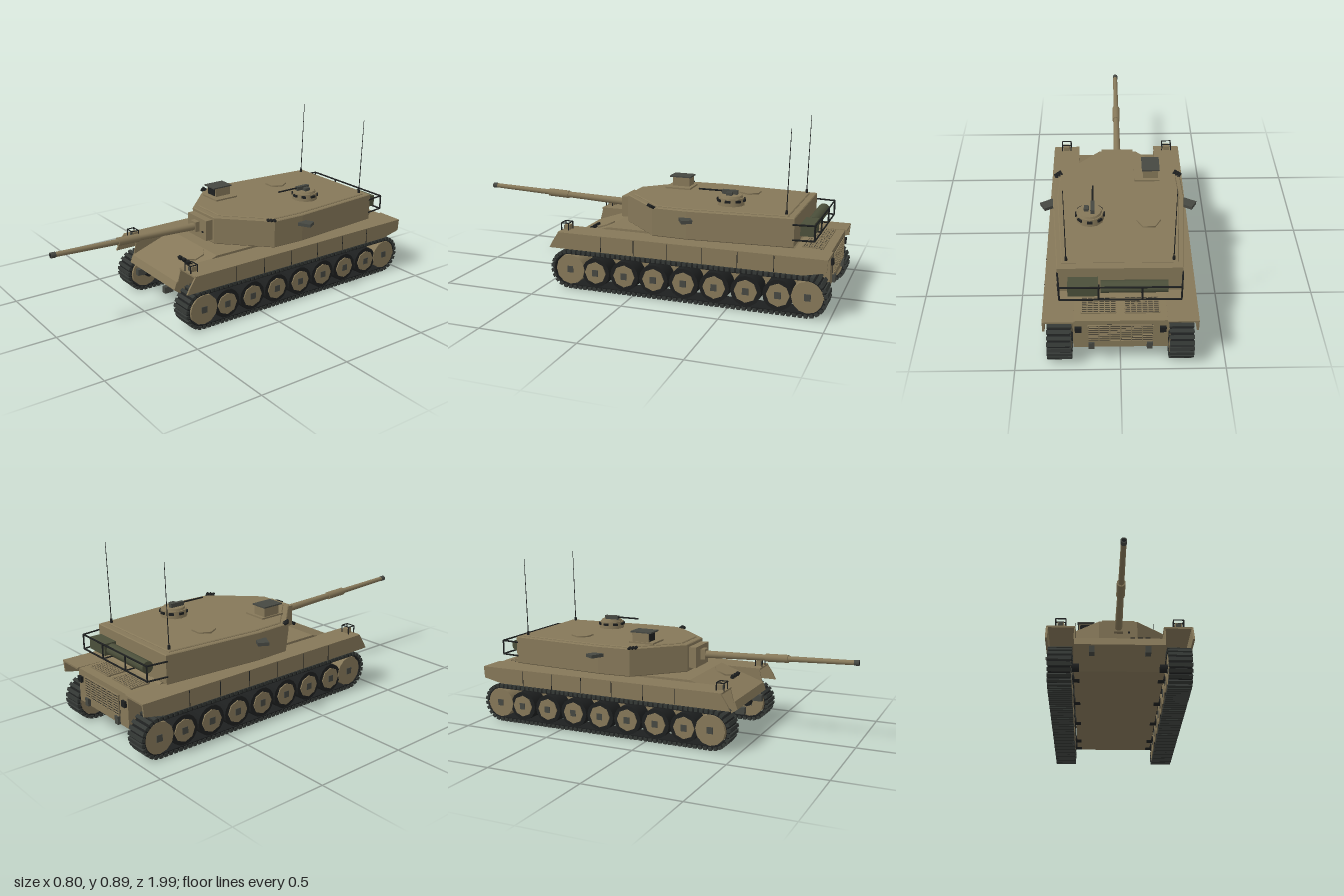
import * as THREE from 'three';
import { mergeGeometries } from 'three/addons/utils/BufferGeometryUtils.js';

const mat = (name, color) => Object.assign(new THREE.MeshStandardMaterial({ color }), { name });
const V = (x, y, z) => new THREE.Vector3(x, y, z);

export function createModel() {
  const sand = mat('sand paint', 0x867859);
  const steel = mat('dark steel', 0x464842);
  const black = mat('rubber black', 0x1d1f1f);
  const track = mat('track grey', 0x343835);
  const olive = mat('olive canvas', 0x4b4f3a);
  const root = new THREE.Group();
  root.name = 'tank';

  // ---- helpers ----
  const add = (name, geo, m, parent = root) => {
    const mesh = new THREE.Mesh(geo, m);
    mesh.name = name;
    parent.add(mesh);
    return mesh;
  };
  const group = (name) => {
    const g = new THREE.Group();
    g.name = name;
    root.add(g);
    return g;
  };
  const boxGeo = (w, h, d, x, y, z) => new THREE.BoxGeometry(w, h, d).translate(x, y, z);
  const box = (name, w, h, d, x, y, z, m, p) => add(name, boxGeo(w, h, d, x, y, z), m, p);
  const rodGeo = (a, b, r0, r1 = r0, n = 6) => {
    const dir = b.clone().sub(a);
    const g = new THREE.CylinderGeometry(r1, r0, dir.length(), n);
    g.applyQuaternion(new THREE.Quaternion().setFromUnitVectors(V(0, 1, 0), dir.normalize()));
    const c = a.clone().add(b).multiplyScalar(0.5);
    return g.translate(c.x, c.y, c.z);
  };
  const rod = (name, a, b, r0, m, r1, n, p) => add(name, rodGeo(a, b, r0, r1, n), m, p);
  const shape = (pts) => new THREE.Shape(pts.map((p) => new THREE.Vector2(p[0], p[1])));
  // side profile of [z, y] points spanning x0..x1
  const sideExtrude = (s, x0, x1) =>
    new THREE.ExtrudeGeometry(s, { depth: x1 - x0, bevelEnabled: false, curveSegments: 16 })
      .rotateY(-Math.PI / 2).translate(x1, 0, 0);
  const wheelGeo = (r, w, n, x, y, z) =>
    new THREE.CylinderGeometry(r, r, w, n).rotateZ(Math.PI / 2).translate(x, y, z);

  // ---- hull ----
  add('hull', sideExtrude(shape([[-0.975, 0.3], [-0.975, 0.13], [-0.93, 0.1], [0.33, 0.1], [0.45, 0.19],
    [0.435, 0.23], [0.19, 0.315], [-0.78, 0.315], [-0.8, 0.303]]), -0.22, 0.22), sand);
  add('turretRing', new THREE.CylinderGeometry(0.19, 0.19, 0.03, 32).translate(0, 0.322, -0.33), sand);

  for (const s of [-1, 1]) {
    const g = group(s > 0 ? 'leftSide' : 'rightSide');
    // fender, its inner wall beside the glacis, and the side skirt
    box('fender', 0.14, 0.009, 1.4, s * 0.285, 0.2985, -0.285, sand, g);
    const wall = s > 0 ? [0.217, 0.223] : [-0.223, -0.217];
    add('fenderWall', sideExtrude(shape([[0.19, 0.29], [0.43, 0.225], [0.41, 0.303], [0.19, 0.303]]), ...wall), sand, g);
    const skirt = s > 0 ? [0.349, 0.359] : [-0.359, -0.349];
    add('skirt', sideExtrude(shape([[-0.985, 0.303], [-0.98, 0.24], [-0.87, 0.217], [0.462, 0.217],
      [0.445, 0.25], [0.41, 0.303]]), ...skirt), sand, g);
    for (let i = 0; i < 6; i++) {
      box('skirtSeam', 0.002, 0.08, 0.003, s * 0.3595, 0.259, 0.17 - i * 0.18, black, g);
    }

    // track belt: a stadium ring with cleats marching round it
    const zf = 0.358, zr = -0.887, yc = 0.104, R = 0.095;
    const loop = (S, r) => S.moveTo(zr, yc - r).lineTo(zf, yc - r)
      .absarc(zf, yc, r, -Math.PI / 2, Math.PI / 2, false).lineTo(zr, yc + r)
      .absarc(zr, yc, r, Math.PI / 2, Math.PI * 1.5, false);
    const belt = loop(new THREE.Shape(), R);
    belt.holes.push(loop(new THREE.Path(), R - 0.014));
    add('trackBelt', sideExtrude(belt, s * 0.2875 - 0.054, s * 0.2875 + 0.054), black, g);
    const L = zf - zr, arc = Math.PI * R, total = 2 * (L + arc), n = 112, cleats = [];
    for (let i = 0; i < n; i++) {
      let d = (i / n) * total, z, y, a;
      if (d < L) { z = zr + d; y = yc - R; a = -Math.PI / 2; }
      else if ((d -= L) < arc) { a = -Math.PI / 2 + d / R; z = zf + R * Math.cos(a); y = yc + R * Math.sin(a); }
      else if ((d -= arc) < L) { z = zf - d; y = yc + R; a = Math.PI / 2; }
      else { a = Math.PI / 2 + (d - L) / R; z = zr + R * Math.cos(a); y = yc + R * Math.sin(a); }
      cleats.push(new THREE.BoxGeometry(0.116, 0.018, 0.018).rotateX(-a).translate(s * 0.2875, y, z));
    }
    add('trackCleats', mergeGeometries(cleats), track, g);

    // seven road wheels, plus idler and sprocket
    for (let i = 0; i < 7; i++) {
      const z = 0.21 - i * 0.16;
      add('roadWheelTyre', wheelGeo(0.077, 0.1, 16, s * 0.2875, 0.098, z), black, g);
      add('roadWheelHub', wheelGeo(0.058, 0.112, 8, s * 0.2875, 0.098, z), sand, g);
      box('wheelCap', 0.118, 0.034, 0.032, s * 0.2875, 0.098, z, steel, g);
    }
    for (const [name, z] of [['idlerWheel', 0.352], ['driveSprocket', -0.893]]) {
      add(name, wheelGeo(0.08, 0.108, 12, s * 0.2875, yc, z), sand, g);
      box('wheelCap', 0.116, 0.034, 0.032, s * 0.2875, yc, z, steel, g);
    }
    for (const z of [0.35, 0.21, -0.11, -0.43, -0.75, -0.89]) {
      add('axle', wheelGeo(0.022, 0.06, 8, s * 0.225, 0.11, z), black, g);
    }

    // headlight with a wire guard
    box('headlight', 0.032, 0.026, 0.03, s * 0.288, 0.318, 0.385, sand, g);
    box('headlightGlass', 0.024, 0.02, 0.004, s * 0.288, 0.318, 0.402, steel, g);
    for (const z of [0.372, 0.412]) {
      for (const x of [0.263, 0.313]) rod('guardPost', V(s * x, 0.3, z), V(s * x, 0.342, z), 0.003, black, 0.003, 5, g);
      rod('guardBar', V(s * 0.262, 0.342, z), V(s * 0.314, 0.342, z), 0.003, black, 0.003, 5, g);
    }
    for (const x of [0.263, 0.313]) rod('guardRail', V(s * x, 0.342, 0.372), V(s * x, 0.342, 0.412), 0.003, black, 0.003, 5, g);

    // towing fittings
    box('frontTowEye', 0.027, 0.034, 0.05, s * 0.135, 0.163, 0.435, steel, g);
    box('rearTowEye', 0.027, 0.04, 0.03, s * 0.135, 0.15, -0.975, steel, g);
    box('tailLight', 0.03, 0.03, 0.015, s * 0.195, 0.25, -0.98, black, g);

    // turret flank: hatch block, dischargers, aerial, basket side
    const block = box('sideBlock', 0.07, 0.017, 0.055, 0, 0, 0, steel, g);
    block.position.set(s * 0.355, 0.428, -0.285);
    block.rotation.y = s * 0.5;
    for (let i = 0; i < 3; i++) {
      const x = s * (0.293 + i * 0.011), z = -0.088 - i * 0.012;
      rod('smokeDischarger', V(x, 0.465, z), V(x + s * 0.014, 0.48, z + 0.02), 0.008, black, 0.008, 8, g);
    }
    rod('aerialBase', V(s * 0.25, 0.47, -0.76), V(s * 0.25, 0.497, -0.76), 0.008, black, 0.006, 8, g);
    rod('aerial', V(s * 0.25, 0.49, -0.76), V(s * 0.25, 0.892, -0.77), 0.0026, black, 0.0014, 5, g);
    for (const y of [0.365, 0.44]) {
      rod('basketSideRail', V(s * 0.292, y, -0.8), V(s * 0.28, y, -0.905), 0.0045, black, 0.0045, 6, g);
    }
    for (const x of [0.28, 0.1]) rod('basketPost', V(s * x, 0.365, -0.905), V(s * x, 0.44, -0.905), 0.0045, black, 0.0045, 6, g);
    rod('basketFloorBar', V(s * 0.1, 0.365, -0.8), V(s * 0.1, 0.365, -0.905), 0.004, black, 0.004, 6, g);
  }

  // ---- hull details ----
  const slope = group('driverHatch'); // lies on the sloping front plate
  slope.position.set(0.105, 0.297, 0.25);
  slope.rotation.x = Math.atan2(0.085, 0.245);
  add('hatchLid', new THREE.CylinderGeometry(0.055, 0.055, 0.01, 6), sand, slope);
  for (let i = -1; i <= 1; i++) box('periscope', 0.024, 0.018, 0.016, i * 0.038, 0.006, 0.066, black, slope);

  // slatted grille; flat on the deck or upright on the rear plate
  const grille = (name, w, h, x, y, z, upright) => {
    const g = group(name);
    box('grillePanel', w, 0.006, h, 0, 0, 0, black, g);
    for (let i = 0; i <= 8; i++) box('slat', w, 0.006, h / 18, 0, 0.004, (i / 8 - 0.5) * h, sand, g);
    for (let i = 0; i <= 6; i++) box('crossBar', 0.005, 0.007, h, (i / 6 - 0.5) * w, 0.004, 0, sand, g);
    g.position.set(x, y, z);
    if (upright) g.rotation.x = -Math.PI / 2;
  };
  grille('rearGrille', 0.3, 0.1, 0, 0.225, -0.977, true);
  for (const x of [-0.1, 0.1]) grille('deckGrille', 0.16, 0.1, x, 0.302, -0.88, false);

  // ---- turret ----
  const half = [[0.1, -0.125], [0.325, 0.1], [0.333, 0.28], [0.292, 0.808]]; // [x, -z]
  const plan = (k) => {
    const q = half.map(([x, y]) => [x * k, (y - 0.34) * k + 0.34]);
    return shape([...q, ...q.map(([x, y]) => [-x, y]).reverse()]);
  };
  const slab = (k, y0, y1) => new THREE.ExtrudeGeometry(plan(k), { depth: y1 - y0, bevelEnabled: true,
    bevelThickness: 0.004, bevelSize: 0.004, bevelSegments: 1, bevelOffset: -0.004 })
    .rotateX(-Math.PI / 2).translate(0, y0, 0);
  const turret = group('turret');
  add('turretBody', slab(1, 0.329, 0.468), sand, turret);
  add('turretRoof', slab(0.93, 0.468, 0.474), sand, turret);
  box('mantlet', 0.17, 0.11, 0.07, 0, 0.4, 0.13, sand, turret);
  box('gunSight', 0.012, 0.009, 0.004, 0.055, 0.387, 0.166, black, turret);
  box('gunCollar', 0.046, 0.055, 0.03, 0, 0.408, 0.175, sand, turret);

  // gun, rising slightly toward the muzzle
  const at = (z) => V(0, 0.405 + (z - 0.16) * 0.036, z);
  const gun = group('gun');
  const barrel = [['barrelBase', 0.16, 0.53, 0.02, 0.016], ['boreEvacuator', 0.52, 0.64, 0.021, 0.021],
    ['barrel', 0.63, 0.98, 0.0145, 0.0125]];
  for (const [name, a, b, r0, r1] of barrel) rod(name, at(a), at(b), r0, sand, r1, 16, gun);
  rod('muzzle', at(0.975), at(1), 0.0145, steel, 0.0145, 16, gun);
  rod('bore', at(0.99), at(1.0005), 0.009, black, 0.009, 12, gun);

  // gunner's sight
  const sight = group('gunnerSight');
  box('sightBase', 0.13, 0.009, 0.14, -0.15, 0.482, -0.09, sand, sight);
  box('sightHousing', 0.078, 0.05, 0.095, -0.17, 0.51, -0.095, sand, sight);
  box('sightWindow', 0.064, 0.04, 0.004, -0.17, 0.51, -0.047, black, sight);
  box('sightRoof', 0.092, 0.007, 0.118, -0.17, 0.538, -0.09, steel, sight);

  // loader's hatch and commander's cupola
  add('loaderHatch', new THREE.CylinderGeometry(0.06, 0.06, 0.01, 6).rotateY(Math.PI / 6).translate(-0.145, 0.481, -0.48), sand);
  const cupola = group('cupola');
  cupola.position.set(0.142, 0, -0.455);
  add('cupolaRing', new THREE.CylinderGeometry(0.066, 0.07, 0.042, 12).translate(0, 0.495, 0), sand, cupola);
  add('cupolaLid', new THREE.CylinderGeometry(0.055, 0.06, 0.012, 12).translate(0, 0.521, 0), sand, cupola);
  for (let i = 0; i < 8; i++) {
    add('visionBlock', boxGeo(0.026, 0.012, 0.01, 0, 0.503, 0.068).rotateY((i * Math.PI) / 4), black, cupola);
  }
  box('machineGunBody', 0.02, 0.022, 0.08, -0.013, 0.537, 0.01, steel, cupola);
  box('ammoBox', 0.024, 0.018, 0.03, 0.017, 0.534, 0.005, steel, cupola);
  rod('machineGunBarrel', V(-0.013, 0.541, 0.04), V(-0.013, 0.541, 0.175), 0.0045, black, 0.0045, 8, cupola);

  // rear basket with stowage
  const basket = group('rearBasket');
  for (const y of [0.365, 0.44]) rod('basketRail', V(-0.28, y, -0.905), V(0.28, y, -0.905), 0.0045, black, 0.0045, 6, basket);
  rod('canvasRoll', V(-0.22, 0.405, -0.86), V(0.09, 0.405, -0.86), 0.03, olive, 0.03, 12, basket);
  box('stowageBox', 0.14, 0.06, 0.065, 0.172, 0.405, -0.86, olive, basket);

  return root;
}
